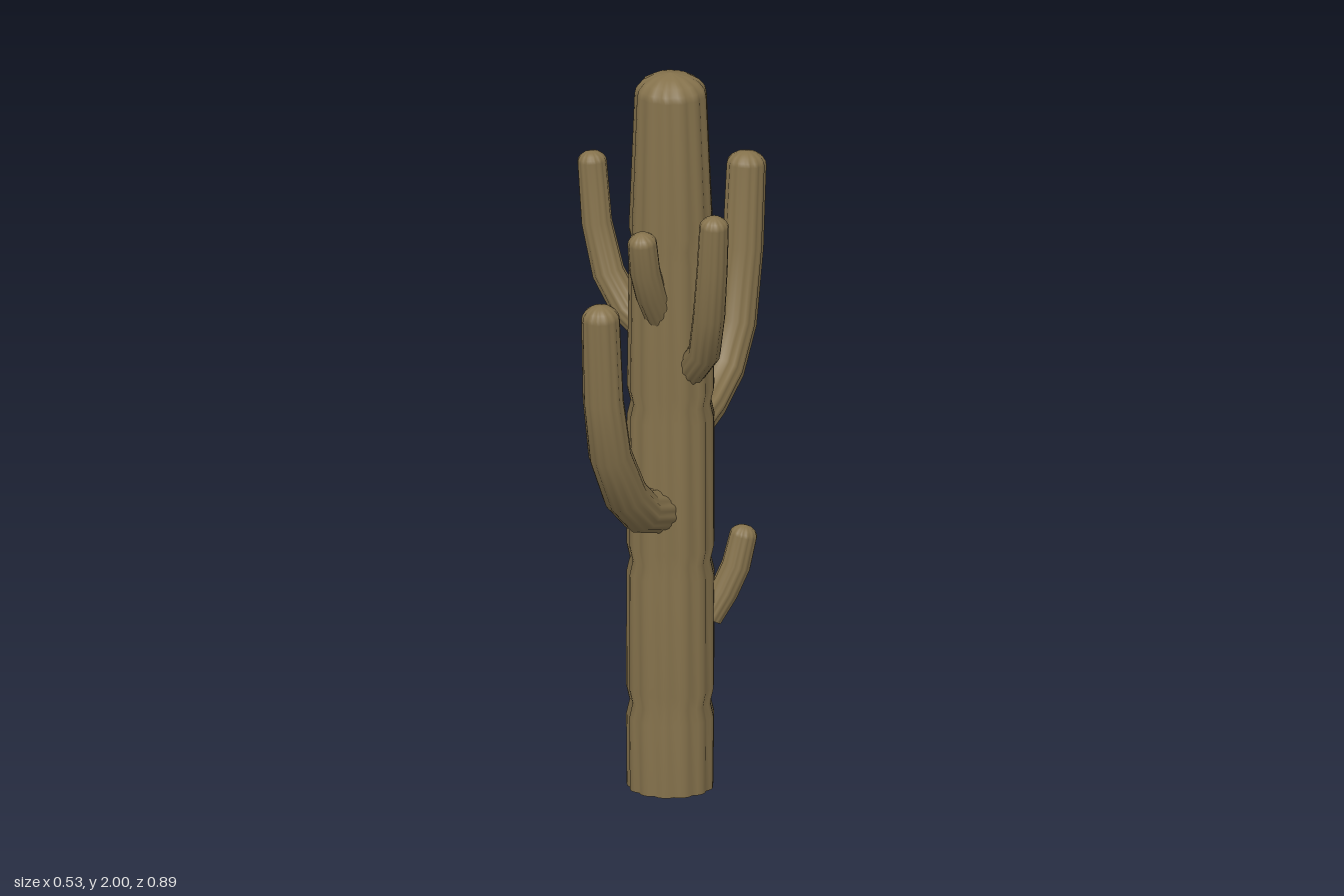
import * as THREE from 'three';

const LOBES = 13, PER_LOBE = 4, SIDES = LOBES * PER_LOBE;

// Ribbed, domed tube along a path of [x, y, z, radius] stations lying in one vertical plane
function ribbedStem(stations, domeHeight) {
  const pts = stations.map(s => new THREE.Vector3(s[0], s[1], s[2]));
  const last = pts.length - 1;
  const dir = pts[last].clone().sub(pts[0]).setY(0);
  const up = new THREE.Vector3(0, 1, 0);
  const trunk = dir.length() < 0.03;
  const side = trunk ? new THREE.Vector3(1, 0, 0) : up.clone().cross(dir).normalize();

  // Rings: closed base, path stations, then the rounded tip
  const rings = [];
  pts.forEach((p, i) => {
    const t = pts[Math.min(i + 1, last)].clone().sub(pts[Math.max(i - 1, 0)]);
    if (trunk) t.set(0, 1, 0);
    t.normalize();
    const r = stations[i][3];
    if (i === 0) rings.push({ p, t, r: 0 }, { p, t, r });
    rings.push({ p, t, r });
  });
  const tip = rings[rings.length - 1];
  for (const a of [0.3, 0.65, 1.05, Math.PI / 2]) {
    rings.push({
      p: tip.p.clone().addScaledVector(tip.t, Math.sin(a) * domeHeight),
      t: tip.t, r: tip.r * Math.cos(a),
    });
  }

  const pos = [], index = [];
  rings.forEach(({ p, t, r }, i) => {
    const n = t.clone().cross(side).normalize();
    for (let j = 0; j < SIDES; j++) {
      const a = (j / SIDES) * Math.PI * 2;
      const rr = r * (0.94 + 0.07 * Math.abs(Math.sin(a * LOBES / 2)));
      const v = p.clone().addScaledVector(side, rr * Math.cos(a)).addScaledVector(n, rr * Math.sin(a));
      pos.push(v.x, v.y, v.z);
      if (i < rings.length - 1) {
        const k = (j + 1) % SIDES, b = i * SIDES, c = b + SIDES;
        index.push(b + j, b + k, c + j, b + k, c + k, c + j);
      }
    }
  });
  const geo = new THREE.BufferGeometry();
  geo.setAttribute('position', new THREE.Float32BufferAttribute(pos, 3));
  geo.setIndex(index);
  geo.computeVertexNormals();
  return geo;
}

export function createModel() {
  const group = new THREE.Group();
  const skin = new THREE.MeshStandardMaterial({ color: 0x85724c });
  skin.name = 'olive brown skin';

  const add = (name, stations, domeHeight) => {
    const mesh = new THREE.Mesh(ribbedStem(stations, domeHeight), skin);
    mesh.name = name;
    group.add(mesh);
  };

  // Trunk with pinched growth rings
  const trunk = [[0.011, 0, 0.006, 0.115]];
  [[0.24, 0.117], [0.64, 0.117], [1.08, 0.116], [1.525, 0.112]].forEach(([y, r]) => {
    const x = 0.011 + 0.004 * y, z = 0.006 + 0.004 * y;
    trunk.push([x, y - 0.04, z, r], [x, y, z, r - 0.009], [x, y + 0.04, z, r]);
  });
  trunk.push([0.018, 1.94, 0.016, 0.096]);
  add('trunk', trunk, 0.06);

  // Large arms in front and behind
  add('frontArm', [
    [0.02, 0.79, 0.07, 0.063], [0.02, 0.82, 0.18, 0.06], [0.022, 0.895, 0.27, 0.06],
    [0.022, 1.03, 0.35, 0.057], [0.02, 1.19, 0.382, 0.054], [0.02, 1.42, 0.396, 0.051],
  ], 0.04);
  add('backArm', [
    [0.015, 0.98, -0.07, 0.062], [0.015, 1.02, -0.17, 0.06], [0.015, 1.09, -0.265, 0.06],
    [0.015, 1.2, -0.333, 0.058], [0.016, 1.4, -0.373, 0.055], [0.017, 1.625, -0.39, 0.053],
  ], 0.037);

  // Medium arms on either side
  add('rightArm', [
    [-0.06, 1.27, 0.007, 0.045], [-0.12, 1.315, 0.007, 0.045], [-0.18, 1.405, 0.005, 0.044],
    [-0.217, 1.54, 0.002, 0.041], [-0.232, 1.705, 0, 0.039],
  ], 0.03);
  add('leftArm', [
    [0.09, 1.185, 0.04, 0.043], [0.16, 1.26, 0.085, 0.043], [0.195, 1.38, 0.122, 0.043],
    [0.215, 1.52, 0.14, 0.041], [0.225, 1.64, 0.148, 0.039],
  ], 0.03);

  // Short young shoots
  add('frontShoot', [
    [0.022, 1.34, 0.085, 0.04], [0.022, 1.41, 0.13, 0.041],
    [0.023, 1.49, 0.165, 0.041], [0.024, 1.57, 0.18, 0.039],
  ], 0.03);
  add('backShoot', [
    [0.1, 0.47, -0.045, 0.036], [0.13, 0.54, -0.073, 0.039],
    [0.153, 0.61, -0.097, 0.039], [0.166, 0.69, -0.112, 0.037],
  ], 0.03);

  return group;
}
